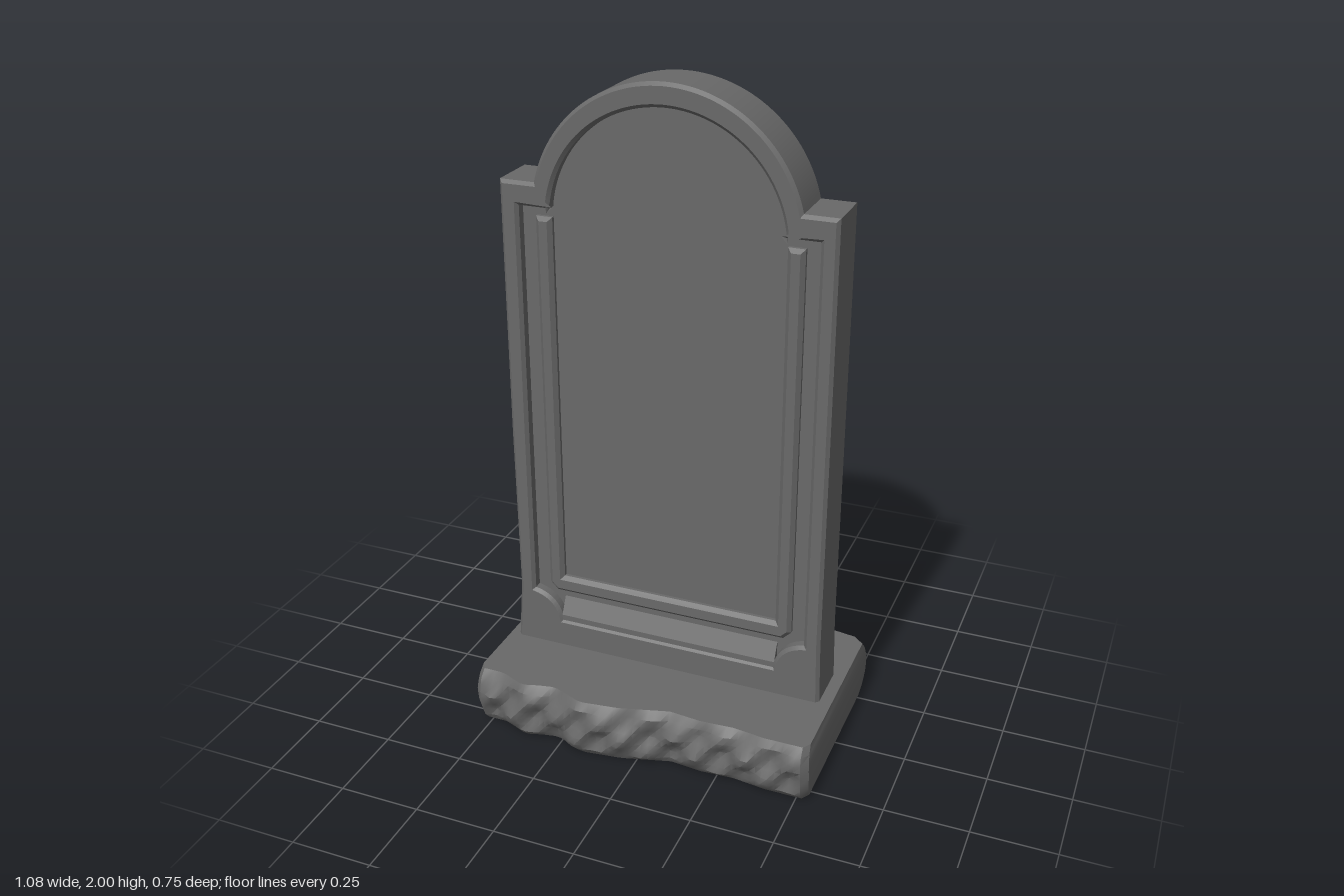
import * as THREE from 'three';
import { toCreasedNormals } from 'three/addons/utils/BufferGeometryUtils.js';

const stone = new THREE.MeshStandardMaterial({ color: 0x696969 });
stone.name = 'grey stone';

const ZC = -0.005; // middle of the slab's thickness

function add(group, name, geometry) {
  const mesh = new THREE.Mesh(geometry, stone);
  mesh.name = name;
  group.add(mesh);
  return mesh;
}

// Extrudes a shape to +-half around the slab's middle, with chamfered rims
function slab(shape, half, bevel) {
  const g = new THREE.ExtrudeGeometry(shape, {
    depth: 2 * (half - bevel), curveSegments: 28, bevelEnabled: bevel > 0,
    bevelSize: bevel, bevelThickness: bevel, bevelOffset: -bevel, bevelSegments: 1,
  });
  g.translate(0, 0, ZC - half + bevel);
  return toCreasedNormals(g, 0.5);
}

// Shouldered outline with a round head and a flared foot
function outerOutline() {
  const s = new THREE.Shape();
  const a = Math.asin(0.09 / 0.4);
  s.moveTo(-0.505, 0.18);
  s.lineTo(0.495, 0.18);
  s.lineTo(0.49, 0.38);
  s.lineTo(0.49, 1.69);
  s.lineTo(0.4 * Math.cos(a), 1.69);
  s.absarc(0, 1.6, 0.4, a, Math.PI - a, false);
  s.lineTo(-0.495, 1.69);
  s.lineTo(-0.495, 0.9);
  s.lineTo(-0.49, 0.38);
  s.closePath();
  return s;
}

// Recess: arched top, square shoulders, scooped lower corners
function recessOutline(Type) {
  const s = new Type();
  s.moveTo(-0.345, 0.28);
  s.lineTo(0.345, 0.28);
  s.quadraticCurveTo(0.36, 0.36, 0.44, 0.375);
  s.lineTo(0.44, 1.62);
  s.lineTo(0.345, 1.62);
  s.absarc(0, 1.585, 0.347, 0.1, Math.PI - 0.1, false);
  s.lineTo(-0.345, 1.62);
  s.lineTo(-0.44, 1.62);
  s.lineTo(-0.44, 0.375);
  s.quadraticCurveTo(-0.36, 0.36, -0.345, 0.28);
  return s;
}

// U-shaped moulding around the panel
function mouldingOutline() {
  return new THREE.Shape([
    [-0.395, 1.59], [-0.395, 0.4], [-0.37, 0.375], [0.37, 0.375], [0.395, 0.4],
    [0.395, 1.59], [0.345, 1.59], [0.345, 0.43], [-0.345, 0.43], [-0.345, 1.59],
  ].map(([x, y]) => new THREE.Vector2(x, y)));
}

// Linear lookup in a list of [x, value] points
function lookup(points, x) {
  for (let i = 1; i < points.length; i++) {
    const [x0, v0] = points[i - 1], [x1, v1] = points[i];
    if (x <= x1) return THREE.MathUtils.lerp(v0, v1, THREE.MathUtils.clamp((x - x0) / (x1 - x0), 0, 1));
  }
  return points[points.length - 1][1];
}

// Plinth block with rough-hewn front and back faces
function plinthGeometry() {
  const front = [[-0.54, 0.3], [-0.52, 0.325], [-0.45, 0.325], [-0.37, 0.36], [-0.32, 0.345], [-0.27, 0.335],
    [-0.17, 0.375], [-0.05, 0.36], [0.1, 0.318], [0.2, 0.328], [0.3, 0.322], [0.4, 0.335], [0.52, 0.335], [0.54, 0.31]];
  const back = [[-0.54, 0.3], [-0.52, 0.335], [-0.45, 0.335], [-0.38, 0.355], [-0.25, 0.345], [-0.1, 0.38],
    [0, 0.365], [0.1, 0.325], [0.14, 0.345], [0.25, 0.35], [0.42, 0.353], [0.5, 0.34], [0.54, 0.31]];
  const inset = [[0, 0.045], [0.12, 0.022], [0.35, 0.006], [0.62, 0], [0.85, 0.01], [1, 0.035]];
  const g = new THREE.BoxGeometry(1.08, 0.19, 2, 54, 8, 1);
  const p = g.attributes.position;
  for (let i = 0; i < p.count; i++) {
    const x = p.getX(i), t = p.getY(i) / 0.19 + 0.5, side = Math.sign(p.getZ(i));
    const fade = Math.sin(Math.PI * t) * Math.min(1, (0.54 - Math.abs(x)) / 0.06);
    const chips = 0.012 * fade * (Math.sin(x * 31 + t * 6 * side) + Math.sin(x * 53 - t * 9 + side) - 0.9);
    const z = lookup(side > 0 ? front : back, x) - lookup(inset, t) + chips;
    const end = 0.008 * (1 - Math.sin(Math.PI * t)) * Math.max(0, Math.abs(x) - 0.5) / 0.04;
    p.setXYZ(i, x - Math.sign(x) * end, t * 0.19, side * z);
  }
  return toCreasedNormals(g.toNonIndexed(), 0.6);
}

// Sloping sill along the foot of the recess
function sillGeometry() {
  const s = new THREE.Shape([[0, 0.27], [0.078, 0.27], [0.078, 0.295], [0.05, 0.35], [0, 0.35]]
    .map(([z, y]) => new THREE.Vector2(z, y)));
  const g = new THREE.ExtrudeGeometry(s, { depth: 0.7, bevelEnabled: false });
  g.translate(0, 0, -0.35);
  g.rotateY(-Math.PI / 2);
  return g;
}

export function createModel() {
  const model = new THREE.Group();
  model.name = 'gravestone';

  add(model, 'plinth', plinthGeometry());

  const frame = outerOutline();
  frame.holes.push(recessOutline(THREE.Path));
  add(model, 'frame', slab(frame, 0.085, 0.01));
  add(model, 'panel', slab(recessOutline(THREE.Shape), 0.05, 0));
  add(model, 'moulding', slab(mouldingOutline(), 0.072, 0.012));

  // One sill on the front and one on the back
  for (const side of [1, -1]) {
    const sill = add(model, side > 0 ? 'frontSill' : 'backSill', sillGeometry());
    sill.rotation.y = side > 0 ? Math.PI : 0;
    sill.position.z = ZC;
  }
  // The sill profile points along +z for the front copy
  model.getObjectByName('frontSill').rotation.y = 0;
  model.getObjectByName('backSill').rotation.y = Math.PI;
  return model;
}
